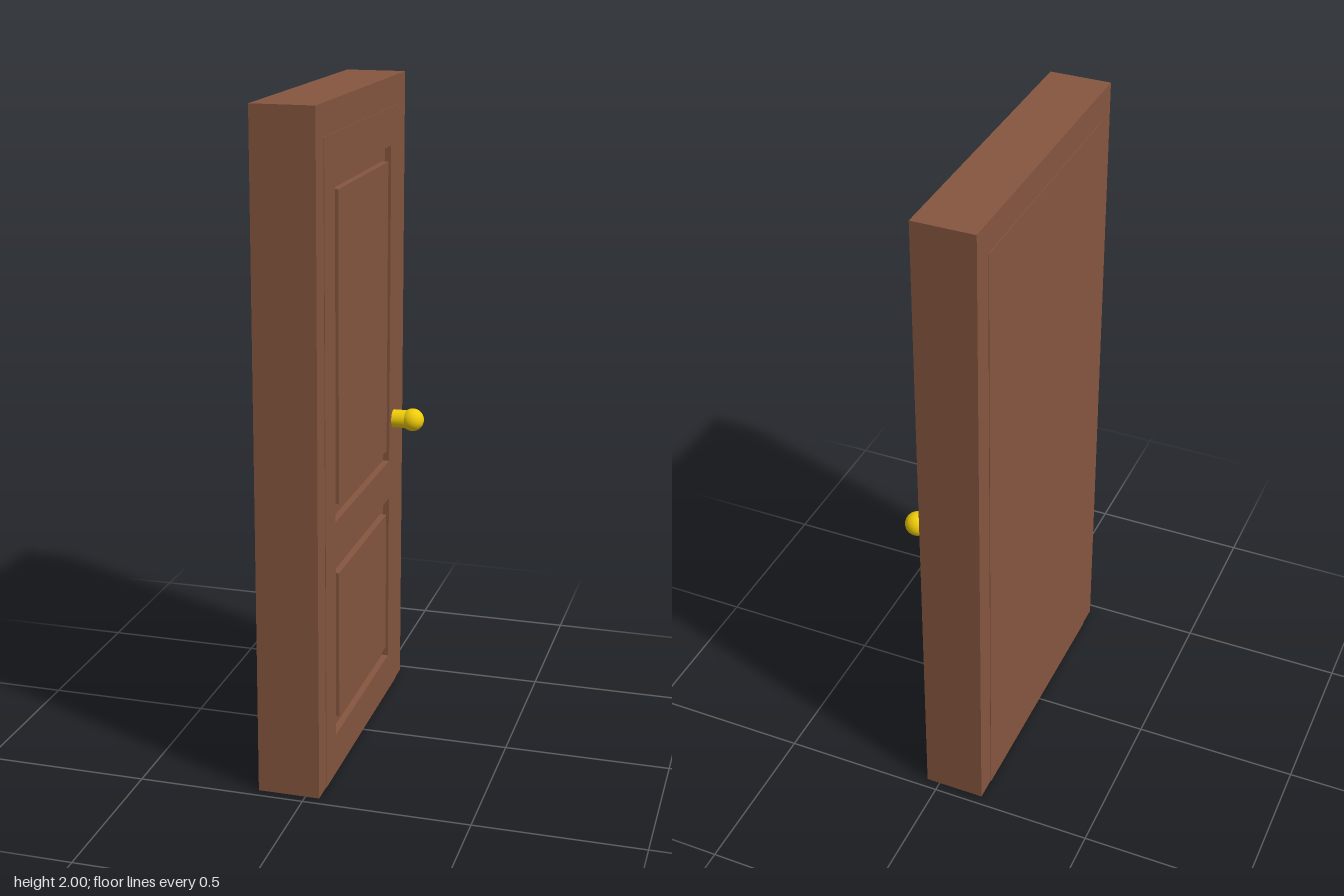
import * as THREE from 'three';

const wood = new THREE.MeshStandardMaterial({ color: 0x85563f });
const brass = new THREE.MeshStandardMaterial({ color: 0xf0cc08 });

// Rectangle outline, given as u = -z (across the door) and y (height)
function rect(u0, u1, y0, y1, Type = THREE.Shape) {
  return new Type([[u0, y0], [u1, y0], [u1, y1], [u0, y1]].map(([u, y]) => new THREE.Vector2(u, y)));
}

// Extrude an outline along x, from x0 to x1
function slab(name, shape, x0, x1) {
  const geo = new THREE.ExtrudeGeometry(shape, { depth: x1 - x0, bevelEnabled: false });
  geo.translate(0, 0, x0).rotateY(Math.PI / 2);
  const mesh = new THREE.Mesh(geo, wood);
  mesh.name = name;
  return mesh;
}

export function createModel() {
  const door = new THREE.Group();
  door.name = 'door';

  const back = -0.145, front = 0.044, floor = 0.024;

  // Jambs and lintel, a hair thinner than the leaf they hold
  const outline = [[-0.47, 0], [-0.4, 0], [-0.4, 1.91], [0.4, 1.91], [0.4, 0], [0.47, 0], [0.47, 2], [-0.47, 2]];
  const frame = new THREE.Shape(outline.map(([u, y]) => new THREE.Vector2(u, y)));
  door.add(slab('doorFrame', frame, back + 0.002, front - 0.002));

  // Leaf: solid core plus a front layer cut open for the panels
  door.add(slab('leafCore', rect(-0.4, 0.4, 0, 1.91), back, floor));
  const face = rect(-0.4, 0.4, 0, 1.91);
  const panels = [
    { name: 'upperPanel', y0: 0.795, y1: 1.795 },
    { name: 'lowerPanel', y0: 0.125, y1: 0.67 },
  ];
  for (const { name, y0, y1 } of panels) {
    face.holes.push(rect(-0.3, 0.3, y0, y1, THREE.Path));
    // Raised field inside the groove
    door.add(slab(name, rect(-0.267, 0.267, y0 + 0.043, y1 - 0.045), floor, front));
  }
  door.add(slab('leafFace', face, floor, front));

  // Knob on its short stem
  const knob = new THREE.Group();
  knob.name = 'doorKnob';
  const stem = new THREE.Mesh(new THREE.CylinderGeometry(0.029, 0.029, 0.066, 32), brass);
  stem.name = 'knobStem';
  stem.rotation.z = Math.PI / 2;
  stem.position.x = 0.071;
  const ball = new THREE.Mesh(new THREE.SphereGeometry(0.036, 32, 20), brass);
  ball.name = 'knobBall';
  ball.position.x = 0.107;
  knob.add(stem, ball);
  knob.position.set(0, 0.922, -0.35);
  door.add(knob);

  return door;
}
